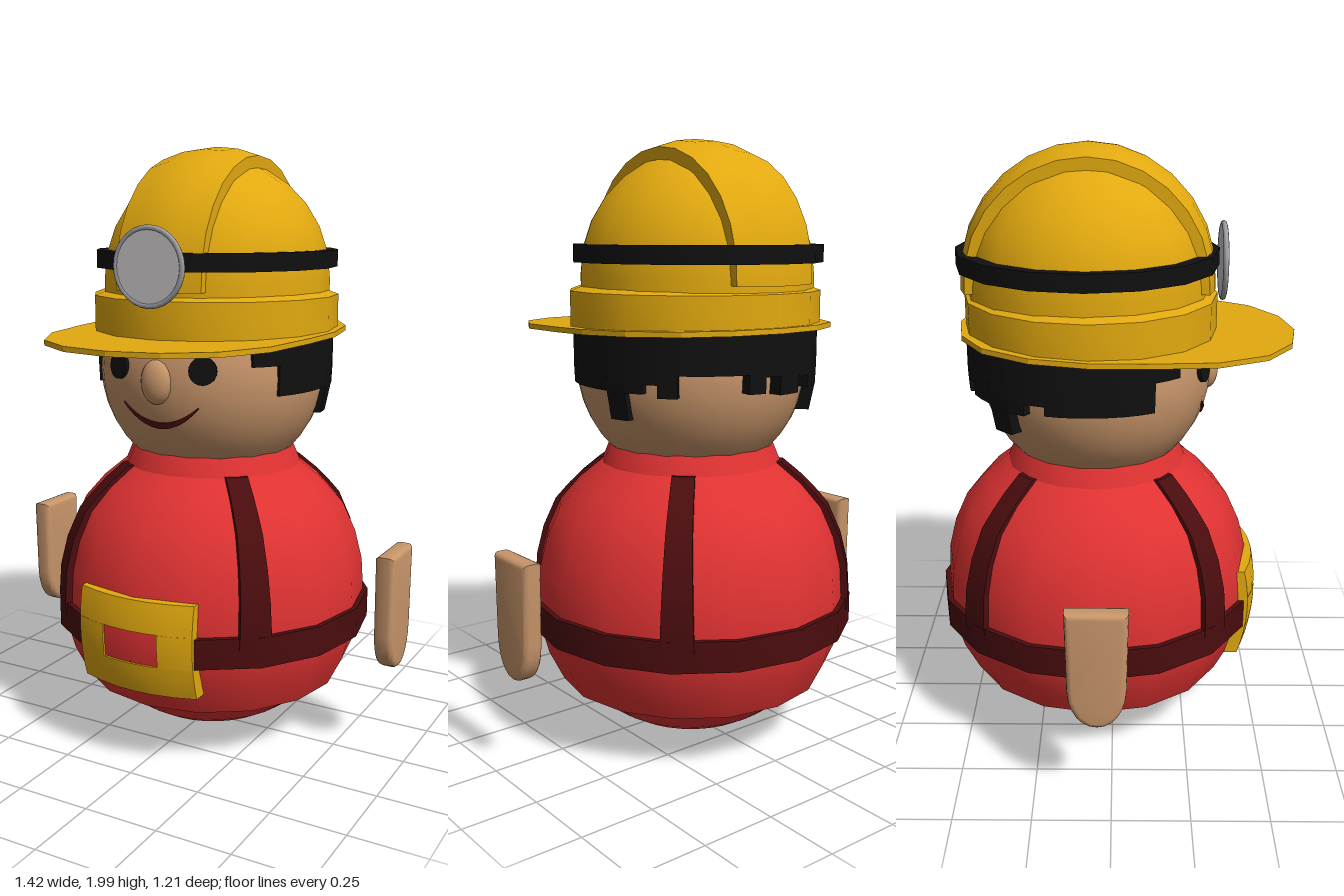
import * as THREE from 'three';
import { toCreasedNormals } from 'three/addons/utils/BufferGeometryUtils.js';

export function createModel() {
  const root = new THREE.Group();
  root.name = 'miner';
  const mat = (name, color) => {
    const m = new THREE.MeshStandardMaterial({ color });
    m.name = name;
    return m;
  };
  const yellow = mat('yellow', 0xe2a90f), red = mat('red', 0xe03232), darkRed = mat('darkRed', 0x4a0c0e);
  const black = mat('black', 0x101010), skin = mat('skin', 0xc8956a), mouth = mat('mouthRed', 0x5c1010);
  const lens = mat('lensGrey', 0xc8c4c6), rim = mat('rimGrey', 0xa0a0a6);

  const CZ = -0.057, SIDES = 16, DEG = Math.PI / 180;
  const add = (name, geo, material, x = 0, y = 0, z = 0) => {
    const m = new THREE.Mesh(geo, material);
    m.name = name;
    m.position.set(x, y, z);
    root.add(m);
    return m;
  };
  const vecs = pts => pts.map(([x, y]) => new THREE.Vector2(x, y));
  const lathe = (pts, crease = 40) =>
    toCreasedNormals(new THREE.LatheGeometry(vecs(pts), SIDES), crease * DEG);
  // Bends a unit box: u and v run from -1 to 1 across its face, w from 0 (inside) to 1 (outside)
  const wrap = (nu, nv, rule) => {
    const g = new THREE.BoxGeometry(2, 2, 1, nu, nv, 1), p = g.attributes.position;
    for (let i = 0; i < p.count; i++) p.setXYZ(i, ...rule(p.getX(i), p.getY(i), p.getZ(i) + 0.5));
    g.computeVertexNormals();
    return g;
  };

  // Body: round base under a tunic with an open hem
  const base = new THREE.SphereGeometry(0.52, 32, 12, 0, Math.PI * 2, Math.PI * 0.55, Math.PI * 0.45);
  add('base', base, red, 0, 0.53, CZ);
  const tunic = [[0.4, 0.2], [0.45, 0.2], [0.5, 0.3], [0.527, 0.4], [0.532, 0.5], [0.525, 0.6],
    [0.5, 0.7], [0.455, 0.8], [0.385, 0.88], [0.3, 0.95]];
  add('tunic', lathe(tunic), red, 0, 0, CZ);
  add('collar', lathe([[0.27, 0.94], [0.305, 0.945], [0.278, 1.01], [0.25, 1.01]]), red, 0, 0, CZ);

  // Belt and the four shoulder straps
  add('belt', lathe([[0.5, 0.39], [0.549, 0.39], [0.549, 0.49], [0.5, 0.49]]), darkRed, 0, 0, CZ);
  const tunicRadius = y => {
    let i = 1;
    while (i < tunic.length - 2 && tunic[i + 1][1] < y) i++;
    const [a, b] = [tunic[i], tunic[i + 1]];
    return a[0] + (b[0] - a[0]) * (y - a[1]) / (b[1] - a[1]);
  };
  for (const angle of [43, 137, 223, 317]) {
    add('strap', wrap(2, 10, (u, v, w) => {
      const y = 0.7 + 0.25 * v, r = tunicRadius(y) - 0.02 + 0.034 * w;
      const a = angle * DEG + u * (0.045 - 0.008 * v) / r;
      return [r * Math.sin(a), y, r * Math.cos(a) + CZ];
    }), darkRed);
  }

  // Buckle: four curved bars around a red panel
  const plate = (x0, x1, y0, y1, front) => wrap(6, 6, (u, v, w) => {
    const x = x0 + (x1 - x0) * (u + 1) / 2, y = y0 + (y1 - y0) * (v + 1) / 2;
    return [x, y, front - 0.9 * (y - 0.47) ** 2 - x * x / 1.06 - 0.045 * (1 - w)];
  });
  for (const [x0, x1, y0, y1] of [[-0.21, 0.21, 0.5, 0.6], [-0.21, 0.21, 0.285, 0.39],
    [-0.21, -0.1, 0.39, 0.5], [0.1, 0.21, 0.39, 0.5]]) {
    add('buckleBar', plate(x0, x1, y0, y1, 0.505), yellow);
  }
  add('bucklePanel', plate(-0.1, 0.1, 0.39, 0.5, 0.497), red);

  // Hands: flat paddles, rounded at the bottom
  const hand = new THREE.Shape();
  hand.moveTo(-0.08, 0.7);
  hand.lineTo(-0.075, 0.45);
  hand.bezierCurveTo(-0.07, 0.3, 0.07, 0.3, 0.075, 0.45);
  hand.lineTo(0.08, 0.7);
  hand.closePath();
  const handGeo = toCreasedNormals(new THREE.ExtrudeGeometry(hand, {
    depth: 0.03, bevelThickness: 0.017, bevelSize: 0.017, bevelSegments: 3, curveSegments: 12,
  }).translate(0, 0, -0.015).rotateY(Math.PI / 2), 0.7);
  for (const s of [-1, 1]) add(s > 0 ? 'leftHand' : 'rightHand', handGeo, skin, s * 0.677, 0, -0.045);

  // Head and face
  const HY = 1.27, HR = 0.382;
  add('head', new THREE.SphereGeometry(HR, 32, 20), skin, 0, HY, CZ);
  const faceZ = (x, y) => Math.sqrt(HR * HR - x * x - (y - HY) ** 2) + CZ;
  const stroke = (path, width) => wrap(16, 1, (u, v, w) => {
    const [x, yc] = path(u), y = yc + v * width * (1 - 0.8 * u * u);
    return [x, y, faceZ(x, y) - 0.003 + 0.008 * w];
  });
  add('smile', stroke(u => [0.137 * u, 1.122 + 0.066 * u * u], 0.011), mouth);
  const nose = add('nose', new THREE.SphereGeometry(1, 20, 14), skin, 0, 1.265, 0.315);
  nose.scale.set(0.055, 0.072, 0.037);
  for (const s of [-1, 1]) {
    const ex = 0.153 * s, ey = 1.307, ez = faceZ(ex, ey);
    const eye = add('eye', new THREE.CylinderGeometry(0.045, 0.045, 0.014, 20).rotateX(Math.PI / 2), black, ex, ey, ez);
    eye.lookAt(ex * 2, ey * 2 - HY, ez * 2 - CZ);
    add('brow', stroke(u => [ex + 0.055 * u, 1.385 - 0.018 * u * u], 0.006), black);
  }

  // Hair: jagged locks around the sides and back [from, to, lower edge]
  const locks = [[47, 61, 1.317], [61, 100, 1.22], [100, 111, 1.13], [111, 120, 1.22], [120, 127, 1.25],
    [127, 136, 1.21], [136, 166, 1.28], [166, 174, 1.22], [174, 182, 1.27], [182, 194, 1.21],
    [194, 203, 1.26], [203, 218, 1.22], [218, 229, 1.13], [229, 238, 1.21], [238, 248, 1.25],
    [248, 299, 1.22], [299, 313, 1.317]];
  for (const [from, to, low] of locks) {
    add('hairLock', wrap(Math.ceil((to - from) / 8), 3, (u, v, w) => {
      const a = (from + (to - from) * (u + 1) / 2) * DEG, y = low + (1.4 - low) * (v + 1) / 2;
      const outer = 0.392 + 0.036 * Math.max(0, -Math.cos(a)) - 0.5 * Math.max(0, 1.25 - y) ** 1.5;
      const r = 0.31 + (outer - 0.31) * w;
      return [r * Math.sin(a), y, r * Math.cos(a) + CZ];
    }), black);
  }

  // Helmet: dome, raised ridge, lower rim and peaked brim
  const HZ = -0.081;
  const dome = [[0.38, 1.42]];
  for (let i = 0; i <= 7; i++) {
    const t = i / 7 * Math.PI / 2;
    dome.push([Math.max(0.38 * Math.cos(t), 0.0001), 1.57 + 0.395 * Math.sin(t)]);
  }
  add('helmetDome', lathe(dome, 60), yellow, 0, 0, HZ).scale.z = 1.04;
  add('helmetRidge', wrap(4, 14, (u, v, w) => {
    const a = -0.06 + (Math.PI + 0.12) * (v + 1) / 2, x = 0.155 * u;
    const k = Math.sqrt(1 - (x / 0.42) ** 2) * (0.88 + 0.12 * w);
    return [x, 1.57 + 0.43 * k * Math.sin(a), 0.416 * k * Math.cos(a) + HZ];
  }), yellow);
  add('helmetRim', lathe([[0.36, 1.4], [0.415, 1.4], [0.415, 1.52], [0.36, 1.54]]), yellow, 0, 0, -0.073);

  const half = [[0, 0.6], [0.17, 0.57], [0.31, 0.48], [0.4, 0.32], [0.43, 0.1], [0.44, -0.07],
    [0.405, -0.25], [0.31, -0.4], [0.17, -0.48], [0, -0.505]];
  const outline = [...half, ...half.slice(1, -1).reverse().map(([x, z]) => [-x, z])];
  const brim = new THREE.ExtrudeGeometry(new THREE.Shape(vecs(outline.map(([x, z]) => [x, -z]))),
    { depth: 0.017, bevelEnabled: false }).rotateX(-Math.PI / 2);
  add('helmetBrim', brim, yellow, 0, 1.391, 0).rotation.x = 0.022;

  // Lamp on its head strap
  add('lampStrap', lathe([[0.35, 1.61], [0.402, 1.61], [0.402, 1.667], [0.35, 1.667]]), black, 0, 0, HZ - 0.003).scale.z = 1.065;
  add('lampLens', new THREE.CylinderGeometry(0.118, 0.118, 0.014, 28).rotateX(Math.PI / 2), lens, 0, 1.625, 0.355);
  add('lampRim', new THREE.TorusGeometry(0.119, 0.009, 8, 28), rim, 0, 1.625, 0.356);

  return root;
}
